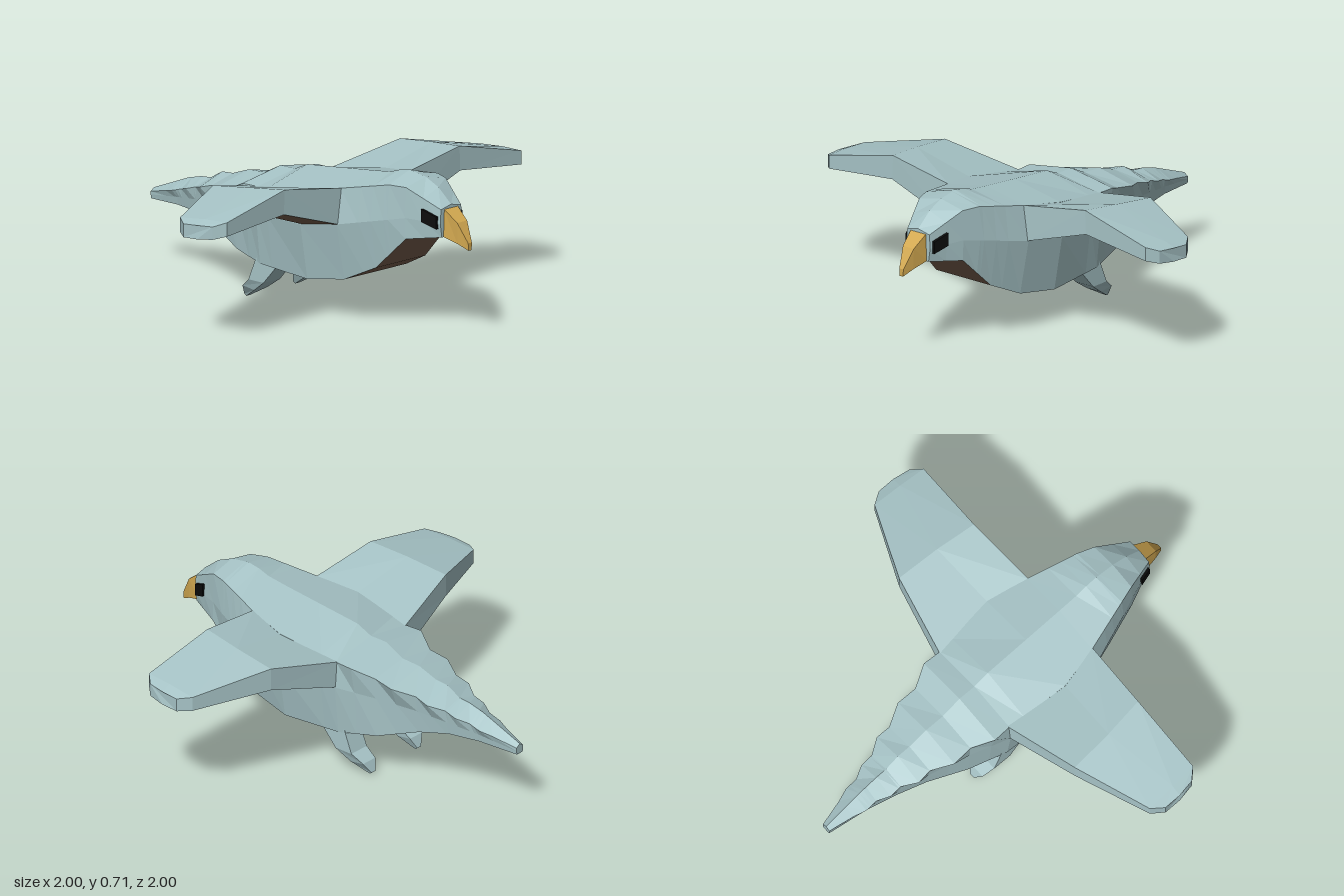
import * as THREE from 'three';

const BLUE = 0xa6c3c6, BROWN = 0x7a604e, GOLD = 0xd2a850, BLACK = 0x0a0a0a;

const lerpTable = (table, x) => {
  let i = 0;
  while (i < table.length - 2 && x > table[i + 1][0]) i++;
  const [x0, a] = table[i], [x1, b] = table[i + 1];
  return THREE.MathUtils.lerp(a, b, THREE.MathUtils.clamp((x - x0) / (x1 - x0), 0, 1));
};

const mirrored = (rings) => rings.map((r) => r.map(([x, y, z]) => [x, y, -z]));

// Skins a row of rings; keep(j) picks which sides of the ring are built.
function loft(name, rings, color, { keep = () => true, caps = true, flip = false } = {}) {
  const pos = [];
  const tri = (a, b, c) => pos.push(...a, ...(flip ? c : b), ...(flip ? b : c));
  const n = rings[0].length;
  for (let i = 0; i < rings.length - 1; i++) {
    for (let j = 0; j < n; j++) {
      if (!keep(j)) continue;
      const k = (j + 1) % n, a = rings[i], b = rings[i + 1];
      tri(a[j], a[k], b[k]);
      tri(a[j], b[k], b[j]);
    }
  }
  if (caps) {
    const s = rings[0], e = rings[rings.length - 1];
    for (let j = 1; j < n - 1; j++) {
      tri(s[0], s[j + 1], s[j]);
      tri(e[0], e[j], e[j + 1]);
    }
  }
  const geo = new THREE.BufferGeometry();
  geo.setAttribute('position', new THREE.Float32BufferAttribute(pos, 3));
  geo.computeVertexNormals();
  const mesh = new THREE.Mesh(geo, new THREE.MeshStandardMaterial({ color, flatShading: true }));
  mesh.name = name;
  return mesh;
}

// Body profiles along x: spine height, back edge, flank and belly.
const spineY = [[-1, 0.345], [-0.78, 0.43], [-0.7, 0.45], [-0.64, 0.455], [-0.57, 0.495], [-0.5, 0.5], [-0.4, 0.535],
  [-0.3, 0.54], [-0.2, 0.59], [-0.11, 0.59], [-0.03, 0.625], [0.2, 0.65], [0.4, 0.672], [0.5, 0.685], [0.56, 0.705],
  [0.62, 0.715], [0.72, 0.7], [0.8, 0.665], [0.88, 0.6]];
const edgeY = [[-1, 0.33], [-0.8, 0.38], [-0.6, 0.44], [-0.42, 0.49], [-0.3, 0.51], [-0.2, 0.55], [-0.11, 0.55],
  [0.2, 0.6], [0.4, 0.63], [0.64, 0.675], [0.72, 0.672], [0.88, 0.585]];
const edgeZ = [[-1, 0.022], [-0.88, 0.05], [-0.82, 0.07], [-0.76, 0.07], [-0.7, 0.1], [-0.64, 0.1], [-0.57, 0.145],
  [-0.5, 0.14], [-0.4, 0.195], [-0.3, 0.19], [-0.2, 0.245], [-0.11, 0.24], [0.2, 0.27], [0.4, 0.225], [0.64, 0.155],
  [0.72, 0.128], [0.88, 0.065]];
const flankY = [[-1, 0.315], [-0.5, 0.39], [-0.11, 0.425], [0.2, 0.435], [0.4, 0.465], [0.72, 0.53], [0.88, 0.52]];
const flankZ = [[-1, 0.022], [-0.8, 0.055], [-0.5, 0.13], [-0.3, 0.185], [-0.11, 0.25], [0.2, 0.28], [0.4, 0.25],
  [0.64, 0.165], [0.72, 0.132], [0.88, 0.07]];
const bellyY = [[-1, 0.297], [-0.8, 0.308], [-0.65, 0.308], [-0.5, 0.28], [-0.3, 0.215], [-0.11, 0.188], [0.2, 0.172],
  [0.4, 0.2], [0.56, 0.275], [0.72, 0.432], [0.88, 0.455]];
const bellyZ = [[-1, 0.02], [-0.8, 0.05], [-0.5, 0.12], [-0.3, 0.18], [-0.11, 0.225], [0.2, 0.235], [0.4, 0.2],
  [0.56, 0.16], [0.72, 0.13], [0.88, 0.06]];

function bodyRing(x) {
  const at = (t) => lerpTable(t, x);
  const side = [[x, at(edgeY), at(edgeZ)], [x, at(flankY), at(flankZ)], [x, at(bellyY), at(bellyZ)]];
  return [[x, at(spineY), 0], ...side, ...mirrored([side])[0].reverse()];
}

// Ring order: leading top, mid top, trailing top, trailing bottom, mid bottom, leading bottom.
function wingRings(tipShift) {
  return [
    [[0.405, 0.63, 0.215], [0.2, 0.597, 0.262], [-0.115, 0.55, 0.23], [-0.115, 0.425, 0.24], [0.2, 0.435, 0.27], [0.405, 0.465, 0.245]],
    [[0.38, 0.68, 0.565], [0.18, 0.66, 0.59], [-0.035, 0.635, 0.605], [-0.035, 0.527, 0.605], [0.18, 0.545, 0.59], [0.38, 0.565, 0.57]],
    [[0.382, 0.595, 0.94], [0.25, 0.59, 0.95], [0.105, 0.575, 0.96], [0.105, 0.507, 0.96], [0.25, 0.515, 0.95], [0.382, 0.53, 0.94]],
    [[0.335, 0.575, 0.985], [0.25, 0.57, 1], [0.165, 0.563, 1], [0.165, 0.5, 1], [0.25, 0.505, 1], [0.335, 0.515, 0.985]],
  ].map((ring, i) => ring.map(([x, y, z]) => [x + (i > 1 ? tipShift : 0), y, z]));
}

// Horizontal slice of a leg between two x and two z limits, tilted by dy.
const legRing = (front, back, y, dy, inner, outer) =>
  [[front, y, inner], [front, y, outer], [back, y + dy, outer], [back, y + dy, inner]];

const beakRing = (x, top, bottom, wTop, wBottom) =>
  [[x, top, wTop], [x, bottom, wBottom], [x, bottom, -wBottom], [x, top, -wTop]];

export function createModel() {
  const model = new THREE.Group();
  model.name = 'bird';

  // Body: blue back and flanks, brown belly
  const stations = [...new Set([spineY, edgeZ, bellyY].flat().map((p) => p[0]))].sort((a, b) => a - b);
  const rings = stations.map(bodyRing);
  model.add(loft('back', rings, BLUE, { keep: (j) => j !== 3 }));
  model.add(loft('belly', rings, BROWN, { keep: (j) => j === 3, caps: false }));

  // Beak hooked downwards
  model.add(loft('beak', [
    beakRing(0.875, 0.587, 0.457, 0.045, 0.05),
    beakRing(0.95, 0.53, 0.432, 0.032, 0.03),
    beakRing(1, 0.44, 0.405, 0.012, 0.01),
  ], GOLD));

  for (const side of [1, -1]) {
    const flip = side < 0;
    const place = (r) => (flip ? mirrored(r) : r);
    const label = flip ? 'right' : 'left';

    // Wing: brown underside
    const wing = new THREE.Group();
    wing.name = label + 'Wing';
    const w = place(wingRings(flip ? 0.022 : 0));
    wing.add(loft('wingTop', w, BLUE, { keep: (j) => j !== 3 && j !== 4, flip }));
    wing.add(loft('wingUnderside', w, BROWN, { keep: (j) => j === 3 || j === 4, caps: false, flip }));
    model.add(wing);

    // Leg swept backwards
    model.add(loft(label + 'Leg', place([
      legRing(0.01, -0.14, 0.21, 0, 0.115, 0.22),
      legRing(-0.09, -0.185, 0.1, 0, 0.115, 0.222),
      legRing(-0.165, -0.24, 0.05, 0.01, 0.12, 0.205),
      legRing(-0.25, -0.262, 0.002, 0.008, 0.145, 0.17),
    ]), BLUE, { flip }));

    // Eye: slanted plate on the cheek
    const eyeRing = (x, top, bottom, z) => [[x, top, z - 0.05], [x, top, z], [x, bottom, z], [x, bottom, z - 0.05]];
    model.add(loft(label + 'Eye', place([
      eyeRing(0.8, 0.582, 0.522, 0.112),
      eyeRing(0.868, 0.552, 0.495, 0.086),
    ]), BLACK, { flip }));
  }
  return model;
}
